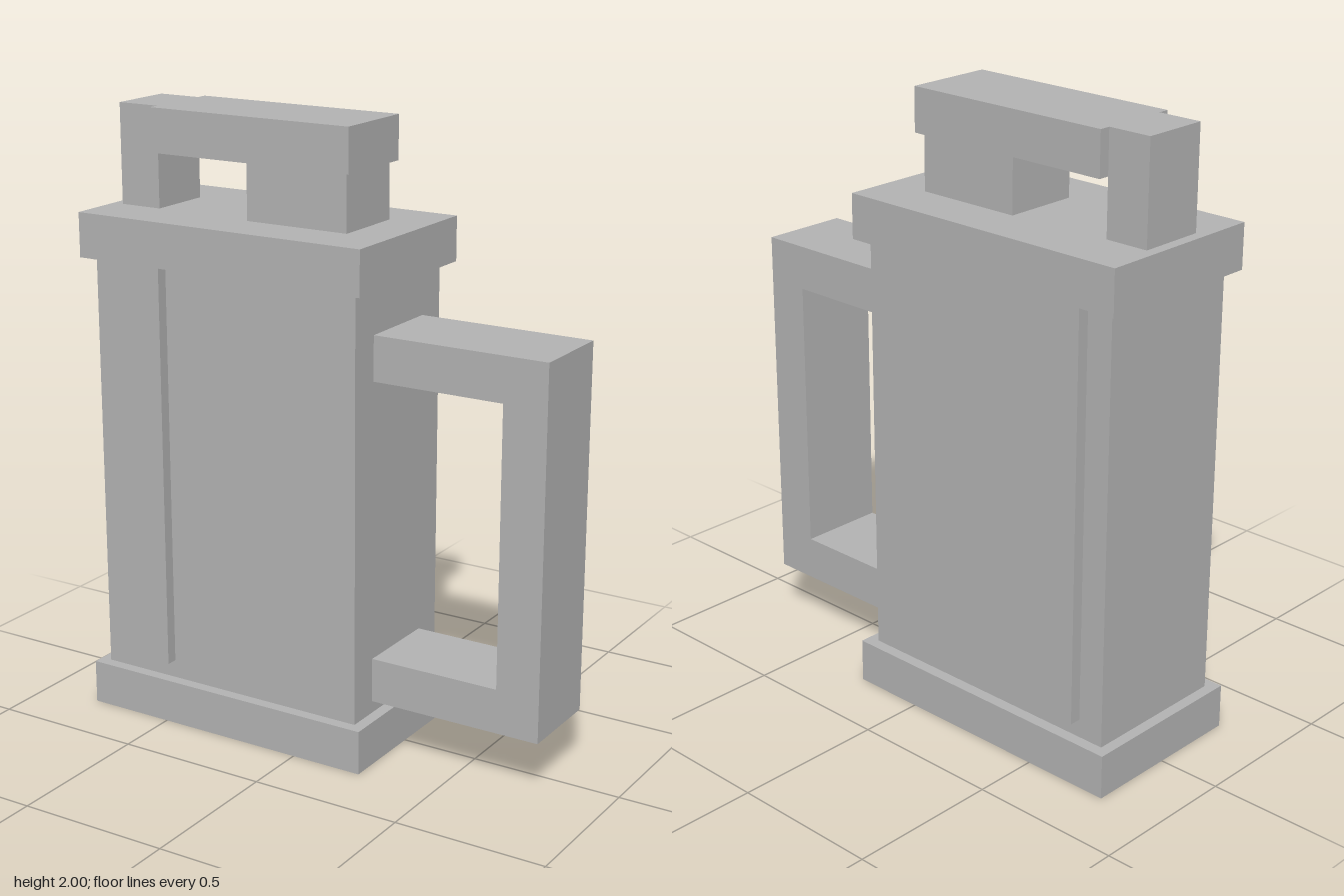
import * as THREE from 'three';

export function createModel() {
  const group = new THREE.Group();
  group.name = 'flask';
  const grey = new THREE.MeshStandardMaterial({ color: 0xb2b2b2 });
  grey.name = 'plain grey';

  // Box given by its x range, y range and z range
  const box = (name, x0, x1, y0, y1, z0, z1) => {
    const mesh = new THREE.Mesh(new THREE.BoxGeometry(x1 - x0, y1 - y0, z1 - z0), grey);
    mesh.position.set((x0 + x1) / 2, (y0 + y1) / 2, (z0 + z1) / 2);
    mesh.name = name;
    group.add(mesh);
  };

  // Main vessel with its two overhanging rims
  box('base', -0.792, 0.243, 0, 0.145, -0.29, 0.29);
  box('body', -0.756, 0.205, 0.145, 1.53, -0.252, 0.252);
  box('lid', -0.792, 0.243, 1.53, 1.675, -0.29, 0.29);

  // Raised strip hanging from the lid on the front and back
  box('frontStrip', -0.668, -0.487, 0.205, 1.53, 0.252, 0.29);
  box('backStrip', -0.668, -0.487, 0.205, 1.53, -0.29, -0.252);

  // Neck, cap and hinge post
  box('neck', -0.264, 0.096, 1.675, 1.858, -0.125, 0.125);
  box('cap', -0.61, 0.115, 1.858, 2, -0.146, 0.146);
  box('hingePost', -0.756, -0.61, 1.675, 2, -0.11, 0.11);

  // Square C-shaped handle
  const outline = [
    [0.205, 0.185], [0.79, 0.185], [0.79, 1.382], [0.205, 1.382],
    [0.205, 1.237], [0.645, 1.237], [0.645, 0.33], [0.205, 0.33],
  ].map(([x, y]) => new THREE.Vector2(x, y));
  const handleGeometry = new THREE.ExtrudeGeometry(new THREE.Shape(outline), {
    depth: 0.292, bevelEnabled: false,
  });
  handleGeometry.translate(0, 0, -0.146);
  const handle = new THREE.Mesh(handleGeometry, grey);
  handle.name = 'handle';
  group.add(handle);

  return group;
}
